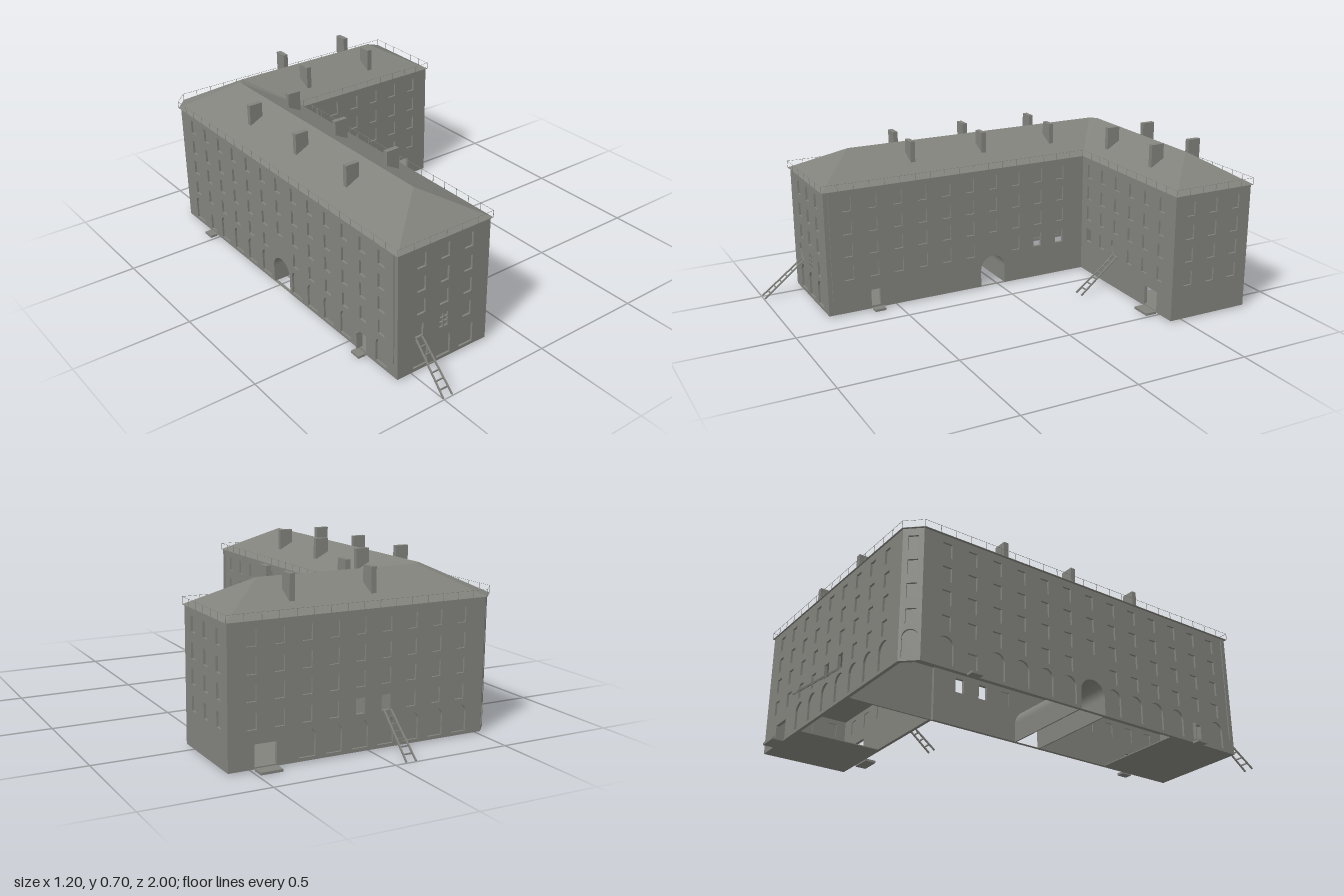
import * as THREE from 'three';

const stone = new THREE.MeshStandardMaterial({ color: 0x82827d, side: THREE.DoubleSide });
stone.name = 'stone grey';
const Y0 = 0.006, EAVE = 0.555, T = 0.014;
// Footprint corners [x, z], counted left to right as seen from outside
const plan = [[-0.57, 0.812], [-0.13, 0.812], [-0.13, -0.44], [0.593, -0.44], [0.593, -0.823], [-0.515, -0.823], [-0.57, -0.763]];
const eaves = [[-0.58, 0.82], [-0.125, 0.82], [-0.125, -0.435], [0.6, -0.435], [0.6, -0.83], [-0.52, -0.83], [-0.58, -0.765]];
const range = (start, n, step) => Array.from({ length: n }, (_, i) => start + i * step);

function add(parent, name, geometry, x = 0, y = 0, z = 0) {
  const m = new THREE.Mesh(geometry, stone);
  m.name = name;
  m.position.set(x, y, z);
  parent.add(m);
  return m;
}
const box = (parent, name, w, h, d, x, y, z) => add(parent, name, new THREE.BoxGeometry(w, h, d), x, y, z);

// Thin square bar between two points
function bar(parent, name, a, b, t) {
  const m = box(parent, name, t, t, a.distanceTo(b), 0, 0, 0);
  m.position.copy(a).add(b).multiplyScalar(0.5);
  m.lookAt(b);
}

// Opening outlines
function rect(u, y0, y1, w) {
  const s = new THREE.Shape();
  s.moveTo(u - w / 2, y0); s.lineTo(u + w / 2, y0); s.lineTo(u + w / 2, y1); s.lineTo(u - w / 2, y1);
  s.closePath();
  return s;
}
function arch(u, y0, top, w) {
  const s = new THREE.Shape(), r = w / 2;
  s.moveTo(u - r, y0); s.lineTo(u + r, y0); s.lineTo(u + r, top - r);
  s.absarc(u, top - r, r, 0, Math.PI, false);
  s.closePath();
  return s;
}
function breach(u, y) {
  const pts = [[-0.012, -0.03], [0.022, -0.028], [0.025, 0.028], [0.005, 0.03], [-0.01, 0.042], [-0.028, 0.036], [-0.03, 0.01], [-0.02, -0.015]];
  return new THREE.Shape(pts.map(([a, b]) => new THREE.Vector2(u + a, y + b)));
}

// Wall with pierced openings; blind ones are closed by a recessed pane
function wall(parent, name, i, fill) {
  const [x0, z0] = plan[i], [x1, z1] = plan[(i + 1) % plan.length];
  const dx = x1 - x0, dz = z1 - z0, len = Math.hypot(dx, dz);
  const g = new THREE.Group();
  g.name = name;
  g.position.set(x0, 0, z0);
  g.rotation.y = Math.atan2(-dz, dx);
  parent.add(g);
  const alongX = Math.abs(dx) > Math.abs(dz);
  const u = c => alongX ? (c - x0) * Math.sign(dx) : (c - z0) * Math.sign(dz);
  const shape = new THREE.Shape([[0, Y0], [len, Y0], [len, EAVE], [0, EAVE]].map(p => new THREE.Vector2(...p)));
  const cut = (s, open = false, pane = 'windowPane') => {
    shape.holes.push(s);
    if (!open) add(g, pane, new THREE.ShapeGeometry(s, 8), 0, 0, -0.009);
  };
  fill(cut, u, g, len);
  add(g, name + 'Masonry', new THREE.ExtrudeGeometry(shape, { depth: T, bevelEnabled: false, curveSegments: 8 }), 0, 0, -T);
}

// Window grid: skip lists ground-row columns left out, open lists those without a pane
function windows(cut, u, cols, skip = [], open = []) {
  cols.forEach((c, k) => [0.492, 0.39, 0.29, 0.185].forEach((y, row) => {
    if (row === 3 && skip.includes(k)) return;
    cut(rect(u(c), y - 0.031, y + 0.031, 0.04), row === 3 && open.includes(k));
  }));
}

function ladder(parent, x, zFoot, zTop, lean) {
  const g = new THREE.Group();
  g.name = 'ladder';
  parent.add(g);
  const at = (side, t) => new THREE.Vector3(x + lean * t + side * (0.021 - 0.006 * t), 0.003 + 0.152 * t, zFoot + (zTop - zFoot) * t);
  for (const s of [-1, 1]) bar(g, 'ladderRail', at(s, 0), at(s, 1), 0.006);
  for (let k = 1; k < 7; k++) bar(g, 'ladderRung', at(-1.15, k / 7), at(1.15, k / 7), 0.005);
}

// Horizontal slab with the given outline
function slab(parent, name, outline, y, depth) {
  const s = new THREE.Shape(outline.map(([x, z]) => new THREE.Vector2(x, -z)));
  add(parent, name, new THREE.ExtrudeGeometry(s, { depth, bevelEnabled: false }).rotateX(-Math.PI / 2), 0, y, 0);
}

export function createModel() {
  const model = new THREE.Group();
  model.name = 'cornerBuilding';
  const longCols = range(0.713, 10, -0.1143), endCols = [-0.518, -0.632, -0.746];
  const wingCols = range(-0.067, 6, 0.113);

  // Walls
  wall(model, 'frontWall', 0, (cut, u, g) => {
    const cols = [-0.46, -0.348, -0.233];
    windows(cut, u, cols, [0]);
    cols.forEach(c => cut(arch(u(c), 0.02, 0.132, 0.068), false, 'blindArch'));
    cut(breach(u(-0.472), 0.187));
    box(g, 'windowBar', 0.005, 0.062, 0.008, u(-0.348), 0.185, -0.004);
    for (const y of [0.175, 0.195]) box(g, 'windowBar', 0.04, 0.004, 0.008, u(-0.348), y, -0.004);
  });
  wall(model, 'courtyardLongWall', 1, (cut, u) => {
    windows(cut, u, longCols, [6], [8, 9]);
    cut(arch(u(0.03), Y0 + 0.001, 0.146, 0.12), true);
    cut(rect(u(0.598), 0.018, 0.092, 0.042), true);
  });
  wall(model, 'courtyardShortWall', 2, (cut, u) => {
    windows(cut, u, wingCols, [2], [0]);
    cut(breach(u(0.152), 0.183));
    cut(rect(u(0.442), 0.014, 0.1, 0.09), true);
  });
  wall(model, 'wingEndWall', 3, (cut, u) => windows(cut, u, endCols));
  wall(model, 'backWall', 4, (cut, u) => {
    const cols = range(-0.406, 9, 0.113);
    windows(cut, u, cols, [], [3, 4]);
    cols.slice(0, 7).forEach(c => cut(arch(u(c), 0.02, 0.132, 0.068), false, 'blindArch'));
    cut(rect(u(0.442), 0.014, 0.1, 0.09), true);
  });
  wall(model, 'chamferWall', 5, (cut, u, g, len) => {
    for (const y of [0.492, 0.39, 0.29, 0.185]) cut(rect(len / 2, y - 0.031, y + 0.031, 0.04));
    cut(arch(len / 2, 0.02, 0.132, 0.06), false, 'blindArch');
  });
  wall(model, 'outerLongWall', 6, (cut, u) => {
    const cols = range(0.713, 13, -0.1143);
    windows(cut, u, cols, [6]);
    cols.forEach((c, k) => {
      if (![1, 6, 11].includes(k)) cut(arch(u(c), 0.02, 0.132, 0.068), false, 'blindArch');
    });
    cut(arch(u(0.03), Y0 + 0.001, 0.146, 0.12), true);
    cut(rect(u(0.598), 0.018, 0.092, 0.042), true);
    cut(rect(u(-0.54), 0.018, 0.092, 0.042), false, 'doorPanel');
  });

  // Floors at both ends, cross wall, ceiling and eaves
  slab(model, 'southFloor', [[-0.568, 0.808], [-0.132, 0.808], [-0.132, 0.45], [-0.568, 0.45]], Y0, 0.004);
  slab(model, 'wingFloor', [[0.27, -0.442], [0.591, -0.442], [0.591, -0.821], [0.27, -0.821]], Y0, 0.004);
  box(model, 'crossWall', 0.008, 0.23, 0.37, -0.134, 0.121, -0.63);
  slab(model, 'groundCeiling', plan, 0.236, 0.004);
  slab(model, 'eavesSoffit', eaves, 0.5535, 0.0015);

  // Barrel vault of the passage
  const vault = new THREE.Shape();
  vault.moveTo(0.066, Y0); vault.lineTo(0.066, 0.086);
  vault.absarc(0, 0.086, 0.066, 0, Math.PI, false);
  vault.lineTo(-0.066, Y0); vault.lineTo(-0.06, Y0); vault.lineTo(-0.06, 0.086);
  vault.absarc(0, 0.086, 0.06, Math.PI, 0, true);
  vault.lineTo(0.06, Y0);
  const vaultGeo = new THREE.ExtrudeGeometry(vault, { depth: 0.43, bevelEnabled: false, curveSegments: 10 });
  add(model, 'passageVault', vaultGeo.rotateY(Math.PI / 2), -0.565, 0, 0.03);

  // Hipped roof with a clipped corner
  const e = eaves.map(([x, z]) => [x, EAVE, z]);
  const P = [-0.347, 0.672, 0.62], Q = [-0.347, 0.672, -0.605], S = [-0.32, 0.672, -0.632], R = [0.385, 0.672, -0.632];
  const faces = [[e[0], e[1], P], [e[1], e[2], Q, P], [e[2], S, Q], [e[2], e[3], R, S], [e[3], e[4], R], [e[4], e[5], S, R], [e[5], e[6], Q, S], [e[6], e[0], P, Q]];
  const pos = faces.flatMap(f => f.length === 3 ? f.flat() : [f[0], f[1], f[2], f[0], f[2], f[3]].flat());
  const roof = new THREE.BufferGeometry();
  roof.setAttribute('position', new THREE.Float32BufferAttribute(pos, 3));
  roof.computeVertexNormals();
  add(model, 'roof', roof);

  // Snow guard rail along the eaves
  eaves.forEach(([x, z], i) => {
    const [x1, z1] = eaves[(i + 1) % eaves.length];
    const a = new THREE.Vector3(x, 0.584, z), b = new THREE.Vector3(x1, 0.584, z1);
    bar(model, 'roofRail', a, b, 0.001);
    const n = Math.max(1, Math.round(a.distanceTo(b) / 0.07));
    for (let k = 0; k < n; k++) {
      const p = a.clone().lerp(b, k / n);
      box(model, 'railPost', 0.0015, 0.03, 0.0015, p.x, 0.57, p.z);
    }
  });

  // Chimneys
  for (const z of [-0.322, 0.025, 0.368]) for (const x of [-0.447, -0.253])
    box(model, 'chimney', 0.06, 0.105, 0.021, x, 0.646, z);
  for (const x of [-0.042, 0.303]) for (const z of [-0.73, -0.538])
    box(model, 'chimney', 0.022, 0.105, 0.06, x, 0.646, z);

  // Doorsteps, open door leaf and drainpipes
  for (const z of [-0.85, -0.415]) box(model, 'gateStep', 0.09, 0.01, 0.05, 0.442, 0.005, z);
  for (const [x, z] of [[-0.587, 0.59], [-0.113, 0.59], [-0.587, -0.54]]) box(model, 'doorStep', 0.034, 0.01, 0.05, x, 0.005, z);
  box(model, 'doorLeaf', 0.016, 0.075, 0.004, -0.578, 0.055, 0.575);
  box(model, 'drainpipe', 0.005, 0.48, 0.005, -0.128, 0.31, 0.79);
  box(model, 'drainpipe', 0.005, 0.48, 0.005, -0.572, 0.31, 0.79);

  ladder(model, -0.48, 0.997, 0.812, 0.012);
  ladder(model, 0.147, -0.26, -0.44, 0.01);
  ladder(model, -0.07, -0.997, -0.82, -0.005);
  return model;
}
